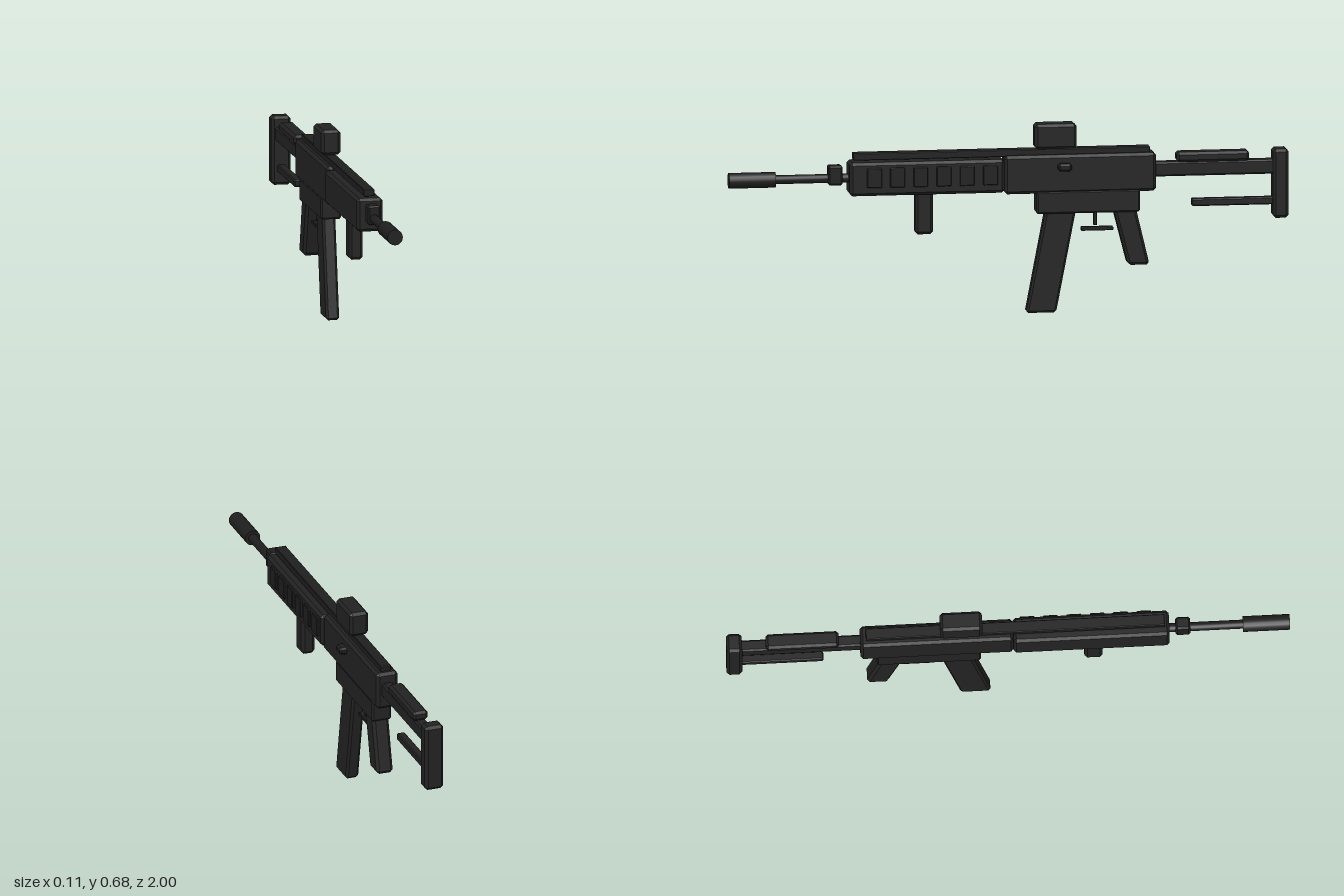
import * as THREE from 'three';
import { ConvexGeometry } from 'three/addons/geometries/ConvexGeometry.js';

const CX = -0.01; // centreline of the body

export function createModel() {
  const group = new THREE.Group();
  const body = new THREE.MeshStandardMaterial({ color: 0x222222 });
  body.name = 'matte black';
  const metal = new THREE.MeshStandardMaterial({ color: 0x1e1e1e });
  metal.name = 'dark metal';

  function add(name, geometry, material) {
    const mesh = new THREE.Mesh(geometry, material);
    mesh.name = name;
    group.add(mesh);
    return mesh;
  }

  // Box with all edges chamfered by b; lean slides the bottom along z and taper narrows it
  function block(name, [x0, x1], [y0, y1], [z0, z1], b, material = body, lean = 0, taper = 1) {
    const h = [(x1 - x0) / 2, (y1 - y0) / 2, (z1 - z0) / 2];
    const points = [];
    for (const sx of [-1, 1]) for (const sy of [-1, 1]) for (const sz of [-1, 1]) {
      for (let axis = 0; axis < 3; axis++) {
        const p = [sx, sy, sz].map((s, i) => s * (h[i] - (i === axis ? 0 : b)));
        const t = (h[1] - p[1]) / (2 * h[1]);
        p[2] = p[2] * (1 + (taper - 1) * t) + lean * t;
        points.push(new THREE.Vector3(...p));
      }
    }
    const mesh = add(name, new ConvexGeometry(points), material);
    mesh.position.set((x0 + x1) / 2, (y0 + y1) / 2, (z0 + z1) / 2);
  }
  const wide = (half) => [CX - half, CX + half];

  // Main body
  block('receiver', wide(0.04), [0.432, 0.57], [-0.525, 0.018], 0.01);
  block('lowerReceiver', wide(0.037), [0.358, 0.44], [-0.467, -0.097], 0.006);
  block('handguard', wide(0.047), [0.44, 0.56], [0.018, 0.572], 0.01);
  block('topRail', wide(0.02), [0.565, 0.59], [-0.505, 0.556], 0.002, metal);
  block('sight', wide(0.035), [0.59, 0.68], [-0.242, -0.092], 0.01);

  // Side panels along the handguard
  for (let i = 0; i < 6; i++) {
    const z = 0.07 + i * 0.083;
    block('sidePanel' + (i + 1), [0.03, 0.045], [0.471, 0.541], [z - 0.026, z + 0.026], 0.002, metal);
  }
  block('sideKnob', [0.02, 0.056], [0.514, 0.541], [-0.22, -0.172], 0.007, metal);

  // Leaning and hanging parts
  block('magazine', wide(0.024), [0, 0.375], [-0.242, -0.133], 0.008, body, 0.072, 0.99);
  block('rearGrip', wide(0.031), [0.165, 0.375], [-0.453, -0.372], 0.01, body, -0.052, 0.95);
  block('foregrip', wide(0.025), [0.293, 0.45], [0.27, 0.335], 0.01);
  block('trigger', wide(0.006), [0.308, 0.365], [-0.318, -0.304], 0.002, metal);
  block('triggerGuard', wide(0.012), [0.29, 0.303], [-0.375, -0.26], 0.002, metal);

  // Shoulder stock
  block('stockTube', wide(0.021), [0.48, 0.532], [-0.955, -0.515], 0.006);
  block('cheekRest', wide(0.028), [0.53, 0.566], [-0.86, -0.6], 0.009);
  block('stockStrut', wide(0.015), [0.369, 0.396], [-0.955, -0.655], 0.004);
  block('buttPlate', wide(0.035), [0.322, 0.57], [-1, -0.944], 0.01);

  // Barrel and muzzle
  function rod(name, radius, z0, z1) {
    const geometry = new THREE.CylinderGeometry(radius, radius, z1 - z0, 20);
    geometry.rotateX(Math.PI / 2);
    add(name, geometry, metal).position.set(CX, 0.5, (z0 + z1) / 2);
  }
  rod('barrel', 0.016, 0.55, 0.85);
  rod('muzzle', 0.028, 0.833, 1);
  block('gasBlock', wide(0.023), [0.477, 0.547], [0.594, 0.646], 0.006, metal);

  return group;
}
